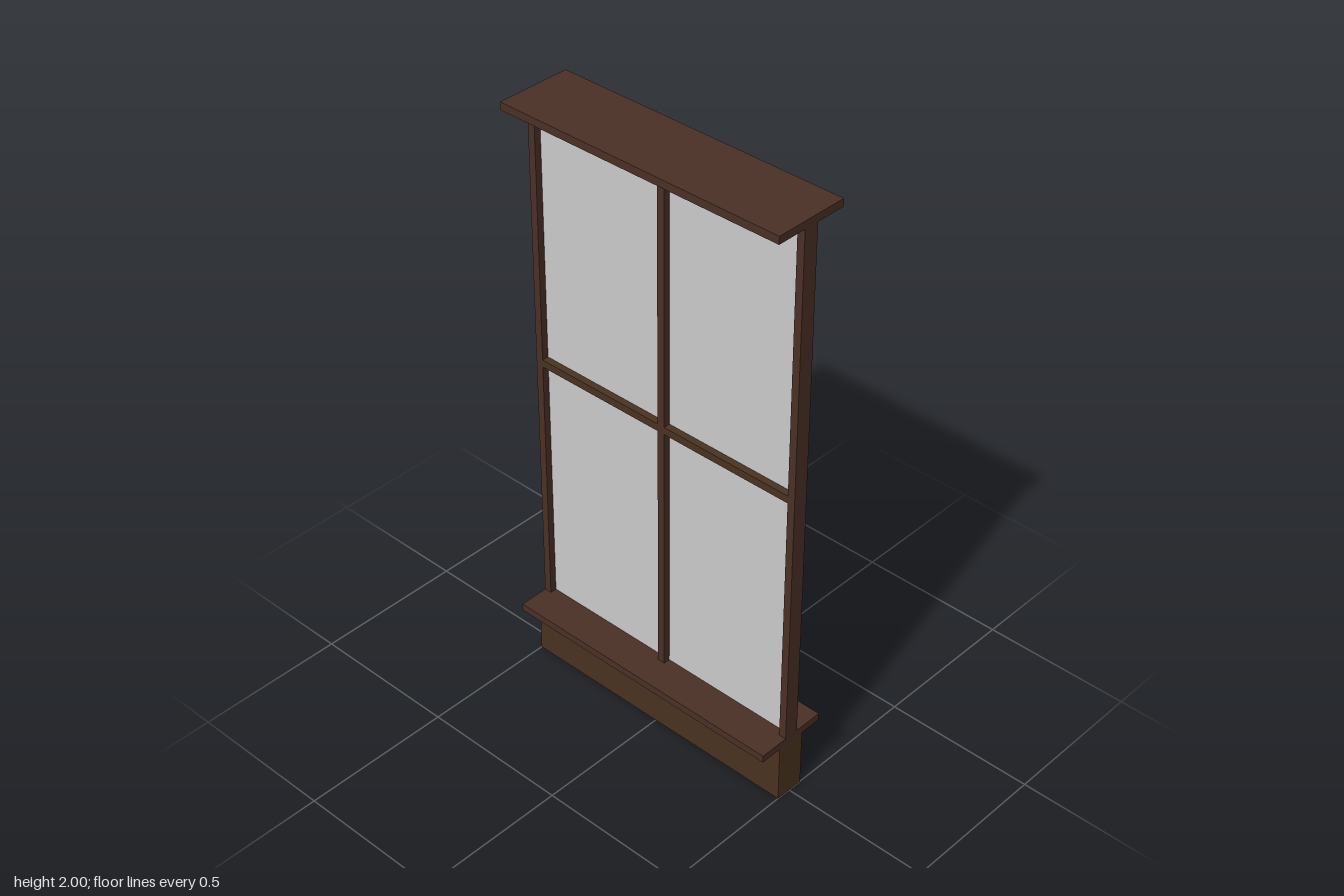
import * as THREE from 'three';

export function createModel() {
  const group = new THREE.Group();
  const baseWood = new THREE.MeshStandardMaterial({ color: 0x4a3220 });
  const trimWood = new THREE.MeshStandardMaterial({ color: 0x4a3026 });
  const glass = new THREE.MeshStandardMaterial({ color: 0xcccccc });

  // Box given by its size, centre x and bottom y, centred on z
  const box = (name, material, w, h, d, x, bottom) => {
    const mesh = new THREE.Mesh(new THREE.BoxGeometry(w, h, d), material);
    mesh.name = name;
    mesh.position.set(x, bottom + h / 2, 0);
    group.add(mesh);
  };

  const bar = 0.025, depth = 0.05;
  const low = 0.225, high = 1.975, mid = (low + high) / 2;

  // Low wall with the projecting sill, and the matching head board
  box('baseWall', baseWood, 1, 0.2, 0.1, 0, 0);
  box('sill', trimWood, 1, bar, 0.25, 0, 0.2);
  box('headBoard', trimWood, 1, bar, 0.25, 0, high);

  // Side posts and the central mullion
  const posts = { rightPost: -0.4875, mullion: 0, leftPost: 0.4875 };
  for (const [name, x] of Object.entries(posts)) {
    box(name, trimWood, bar, high - low, depth, x, low);
  }

  // Crossbars and panes in the two bays
  const bay = 0.4625;
  const paneHeight = (high - low - bar) / 2;
  for (const side of [-1, 1]) {
    const x = side * 0.24375;
    const label = side < 0 ? 'right' : 'left';
    box(label + 'Crossbar', baseWood, bay, bar, depth, x, mid - bar / 2);
    box(label + 'LowerPane', glass, bay, paneHeight, 0.005, x, low);
    box(label + 'UpperPane', glass, bay, paneHeight, 0.005, x, mid + bar / 2);
  }
  return group;
}
